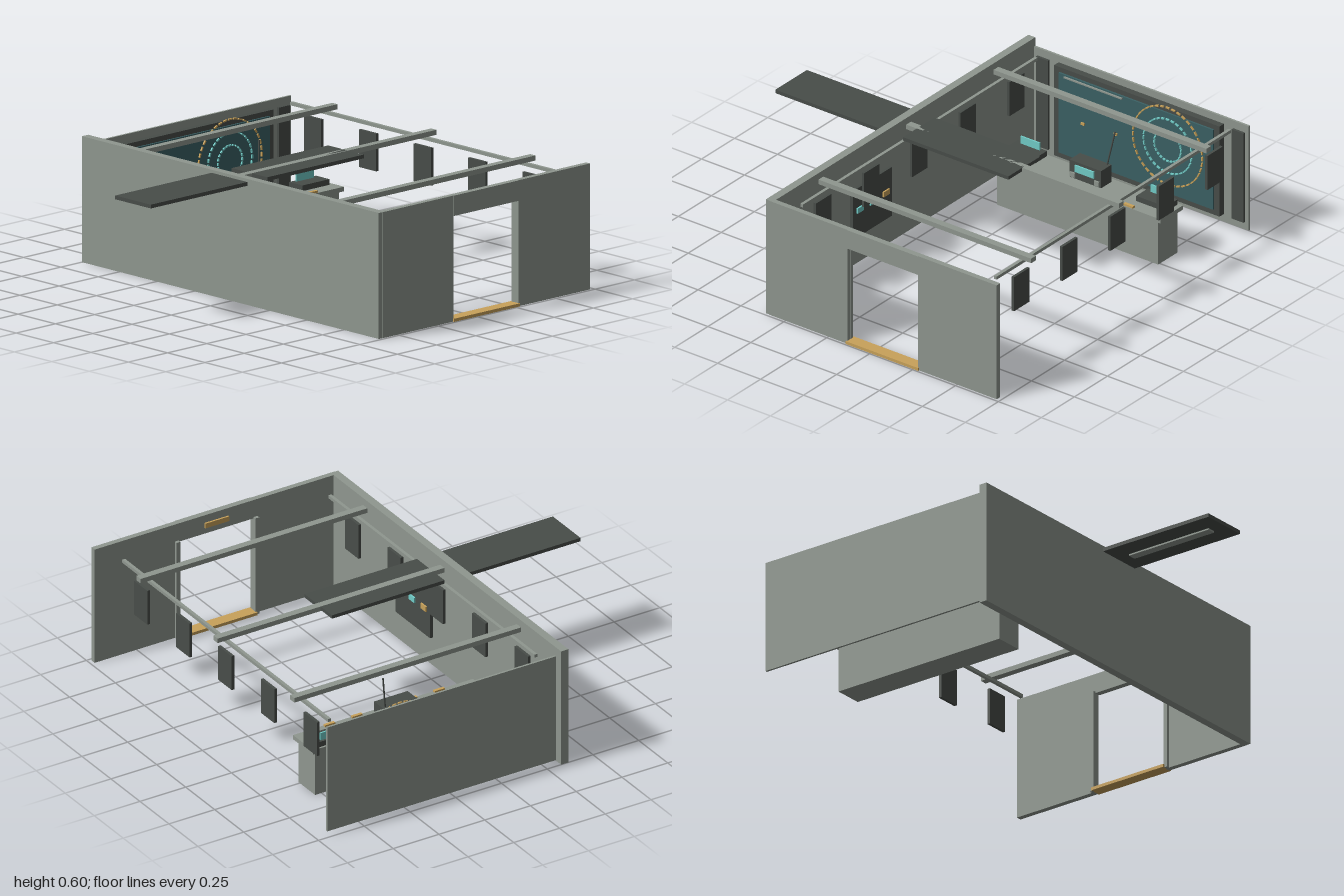
import * as THREE from 'three';

const mat = (name, color) => {
  const m = new THREE.MeshStandardMaterial({ color });
  m.name = name;
  return m;
};

export function createModel() {
  const root = new THREE.Group();
  root.name = 'commandRoom';
  const wall = mat('greyGreen', 0x8f978f);
  const dark = mat('charcoal', 0x484d49);
  const gold = mat('amber', 0xc9a25a);
  const teal = mat('lightTeal', 0x72cdc8);
  const deep = mat('deepTeal', 0x3b6165);

  // Box given by its minimum and maximum on each axis
  const box = (name, m, [x0, x1], [y0, y1], [z0, z1], parent = root) => {
    const mesh = new THREE.Mesh(new THREE.BoxGeometry(x1 - x0, y1 - y0, z1 - z0), m);
    mesh.position.set((x0 + x1) / 2, (y0 + y1) / 2, (z0 + z1) / 2);
    mesh.name = name;
    parent.add(mesh);
    return mesh;
  };
  const group = (name) => {
    const g = new THREE.Group();
    g.name = name;
    root.add(g);
    return g;
  };

  // Walls
  box('sideWall', wall, [-0.366, -0.326], [0, 0.6], [-1, 0.985]);
  box('backWall', wall, [-0.31, 0.94], [0.02, 0.57], [-0.981, -0.97]);
  for (const x of [-0.29, 0.85])
    box('backPilaster', dark, [x, x + 0.07], [0.06, 0.53], [-0.97, -0.957]);

  // Front wall with doorway
  const front = group('frontWall');
  box('frontWallRight', wall, [-0.345, 0.11], [0, 0.6], [0.96, 0.987], front);
  box('frontWallLeft', wall, [0.523, 0.98], [0, 0.6], [0.96, 0.987], front);
  box('doorLintel', wall, [0.11, 0.523], [0.503, 0.6], [0.96, 0.99], front);
  box('doorSill', gold, [0.106, 0.527], [0, 0.015], [0.935, 0.994], front);
  for (const x of [0.09, 0.521])
    box('doorJamb', wall, [x, x + 0.021], [0, 0.51], [0.944, 0.962], front);
  box('doorSign', gold, [0.25, 0.38], [0.535, 0.56], [0.951, 0.96], front);

  // Large map display on the back wall
  const display = group('mapDisplay');
  box('displayFrame', dark, [-0.167, 0.796], [0.06, 0.535], [-0.97, -0.936], display);
  box('displayScreen', deep, [-0.135, 0.765], [0.09, 0.51], [-0.936, -0.927], display);
  box('displayTitleBar', wall, [-0.1, 0.24], [0.496, 0.503], [-0.927, -0.919], display);
  for (const [x, y] of [[0.13, 0.39], [0.01, 0.29], [0.2, 0.3]])
    box('displayMarker', gold, [x - 0.009, x + 0.009], [y - 0.006, y + 0.006], [-0.927, -0.919], display);

  // Dashed rings drawn on the map
  const dashedRing = (r, count, m) => {
    for (let i = 0; i < count; i++) {
      const a = (i / count) * Math.PI * 2;
      const dash = new THREE.Mesh(
        new THREE.BoxGeometry(0.007, (r * Math.PI * 2 / count) * 0.66, 0.008), m);
      dash.position.set(0.505 + r * Math.cos(a), 0.34 + r * Math.sin(a), -0.922);
      dash.rotation.z = a;
      dash.name = 'mapRingDash';
      display.add(dash);
    }
  };
  dashedRing(0.202, 40, gold);
  dashedRing(0.14, 32, teal);
  dashedRing(0.078, 24, teal);

  // Counter
  const counter = group('counter');
  box('counterBody', wall, [-0.155, 0.785], [0, 0.228], [-0.632, -0.487], counter);
  box('counterTop', wall, [-0.177, 0.807], [0.228, 0.25], [-0.648, -0.476], counter);
  for (let i = 0; i < 5; i++) {
    const x = -0.012 + i * 0.15;
    box('counterTag', gold, [x, x + 0.055], [0.25, 0.26], [-0.495, -0.479], counter);
  }

  // Side consoles with upright screens
  for (const x of [-0.15, 0.61]) {
    box('consoleBase', dark, [x, x + 0.172], [0.25, 0.277], [-0.638, -0.548], counter);
    box('consoleScreen', teal, [x + 0.03, x + 0.142], [0.277, 0.315], [-0.627, -0.619], counter);
  }

  // Central radio set with antenna
  const radio = group('radioSet');
  box('radioBody', dark, [0.224, 0.408], [0.25, 0.34], [-0.624, -0.545], radio);
  box('radioScreen', teal, [0.26, 0.37], [0.29, 0.325], [-0.545, -0.537], radio);
  for (const x of [0.245, 0.386])
    box('radioKnob', wall, [x - 0.014, x + 0.014], [0.257, 0.281], [-0.545, -0.537], radio);
  const from = new THREE.Vector3(0.39, 0.335, -0.613);
  const to = new THREE.Vector3(0.418, 0.51, -0.638);
  const antenna = new THREE.Mesh(new THREE.CylinderGeometry(0.004, 0.004, from.distanceTo(to), 8), dark);
  antenna.position.copy(from).lerp(to, 0.5);
  antenna.quaternion.setFromUnitVectors(new THREE.Vector3(0, 1, 0), to.clone().sub(from).normalize());
  antenna.name = 'antenna';
  radio.add(antenna);

  // Ceiling beams and rails
  for (const z of [-0.673, -0.012, 0.651])
    box('ceilingBeam', wall, [-0.303, 0.936], [0.563, 0.587], [z - 0.018, z + 0.018]);
  for (const x of [-0.248, 0.88])
    box('ceilingRail', wall, [x - 0.008, x + 0.008], [0.547, 0.563], [-0.905, 0.868]);

  // Panels hanging along both rails
  for (const z of [0.692, 0.328, -0.035, -0.402, -0.77])
    for (const x of [-0.262, 0.892])
      box('hangingPanel', dark, [x - 0.007, x + 0.007], [0.333, 0.512], [z - 0.058, z + 0.058]);

  // Overhead boards with a thin strip beneath
  for (const x of [-0.985, -0.242]) {
    box('overheadBoard', dark, [x, x + 0.615], [0.569, 0.587], [-0.128, 0.11]);
    box('overheadStrip', wall, [x + 0.075, x + 0.54], [0.561, 0.569], [-0.03, 0.012]);
  }

  // Control panel on the side wall
  const control = group('controlPanel');
  box('controlPanelBody', dark, [-0.326, -0.31], [0.148, 0.405], [0.104, 0.4], control);
  [[0.35, teal], [0.252, teal], [0.152, gold]].forEach(([z, m]) =>
    box('controlPanelLight', m, [-0.31, -0.302], [0.277, 0.304], [z - 0.023, z + 0.023], control));

  return root;
}
